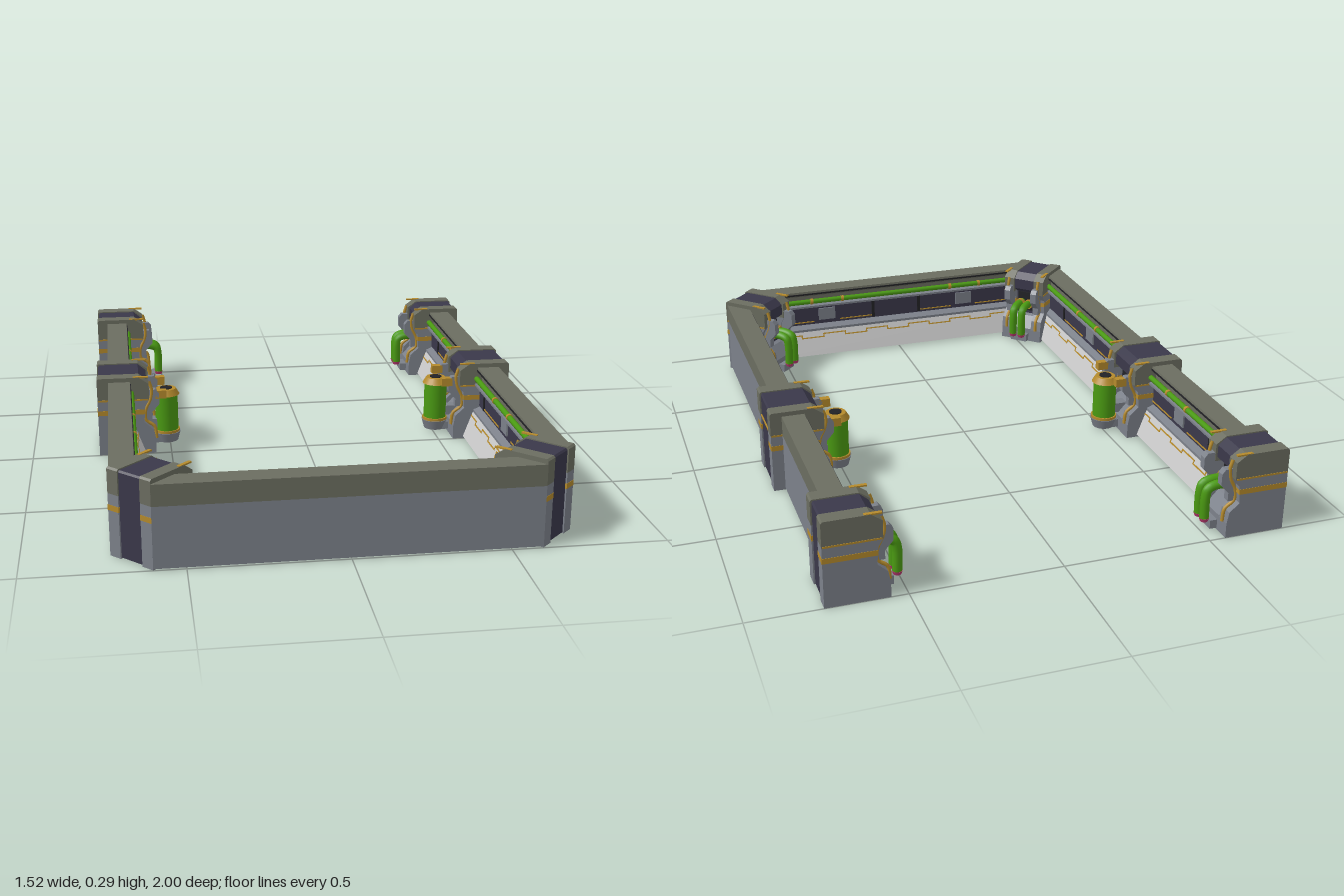
import * as THREE from 'three';

const mat = (color) => new THREE.MeshStandardMaterial({ color });
const M = {
  grey: mat(0x7c818a), olive: mat(0x6b6d60), navy: mat(0x3a384a), gold: mat(0xb48a2c),
  green: mat(0x4a9a12), light: mat(0xc4c4c4), dark: mat(0x222226), pink: mat(0xb83a70),
};

function add(parent, name, geometry, material, x = 0, y = 0, z = 0) {
  const mesh = new THREE.Mesh(geometry, material);
  mesh.name = name;
  mesh.position.set(x, y, z);
  parent.add(mesh);
  return mesh;
}

const box = (parent, name, m, w, h, d, x, y, z) =>
  add(parent, name, new THREE.BoxGeometry(w, h, d), m, x, y, z);

// Cross-section of [inward depth, height] points, extruded along local x; outward is +z
function section(parent, name, m, points, length, x = 0) {
  const shape = new THREE.Shape(points.map(([u, y]) => new THREE.Vector2(u, y)));
  const g = new THREE.ExtrudeGeometry(shape, { depth: length, bevelEnabled: false });
  g.translate(0, 0, -length / 2);
  g.rotateY(Math.PI / 2);
  return add(parent, name, g, m, x);
}

// Round pipe through [x, y, inward depth] points
function pipe(parent, name, m, points, r, steps = 20) {
  const curve = new THREE.CatmullRomCurve3(
    points.map(([x, y, u]) => new THREE.Vector3(x, y, -u)), false, 'centripetal');
  return add(parent, name, new THREE.TubeGeometry(curve, steps, r, 10), m);
}

// Straight wall: plain outside, equipment channel inside, open below
function wall(length, bays) {
  const g = new THREE.Group();
  g.name = 'wall';
  section(g, 'wallShell', M.grey, [
    [0, 0.005], [0, 0.205], [0.06, 0.205], [0.06, 0.125], [0.09, 0.112],
    [0.09, 0.1], [0.015, 0.1], [0.015, 0.005]], length);
  section(g, 'wallCap', M.olive, [
    [0, 0.205], [0, 0.275], [0.078, 0.275], [0.08, 0.262], [0.062, 0.25], [0.062, 0.205]], length);
  box(g, 'capEdge', M.dark, length, 0.006, 0.006, 0, 0.264, -0.079);
  box(g, 'innerPanel', M.navy, length, 0.078, 0.008, 0, 0.165, -0.064);
  box(g, 'pipeShelf', M.grey, length, 0.008, 0.03, 0, 0.21, -0.073);
  pipe(g, 'railPipe', M.green, [[-length / 2, 0.232, 0.082], [length / 2, 0.232, 0.082]], 0.01, 1);

  // Slanted lower panel with a stepped trim line on both faces
  const skirt = new THREE.Group();
  skirt.name = 'lowerPanel';
  skirt.position.set(0, 0.055, -0.107);
  skirt.rotation.x = 0.353;
  g.add(skirt);
  box(skirt, 'panelSheet', M.light, length, 0.101, 0.004, 0, 0, 0);
  const n = Math.round(length / 0.09), step = length / n;
  for (let i = 0; i < n; i++) {
    const x = -length / 2 + (i + 0.5) * step, high = i % 2;
    box(skirt, 'trimLine', M.gold, step, 0.005, 0.007, x, high ? 0.036 : 0.024, 0);
    if (i) box(skirt, 'trimStep', M.gold, 0.005, 0.017, 0.007, x - step / 2, 0.03, 0);
  }

  // Each bay: access hatch, side strips and pipe clamps
  for (const [cx, w] of bays) {
    box(g, 'hatch', M.grey, 0.07, 0.05, 0.012, cx, 0.168, -0.068);
    for (const s of [-1, 1]) {
      box(g, 'panelStrip', M.gold, w * 0.28, 0.004, 0.01, cx + s * w * 0.25, 0.137, -0.066);
      box(g, 'panelRib', M.dark, 0.012, 0.07, 0.012, cx + s * w * 0.4, 0.165, -0.066);
      const clamp = add(g, 'pipeClamp', new THREE.CylinderGeometry(0.012, 0.012, 0.012, 12),
        M.gold, cx + s * w * 0.13, 0.232, -0.082);
      clamp.rotation.z = Math.PI / 2;
    }
  }
  return g;
}

// Pillar: dark core between two collars, with pipes or a canister on the inside
function pillar(core, collar, canister) {
  const g = new THREE.Group();
  g.name = canister ? 'middlePillar' : 'pillar';
  section(g, 'pillarCore', M.navy, [
    [0.005, 0.003], [0.005, 0.28], [0.01, 0.286], [0.15, 0.286], [0.178, 0.262], [0.178, 0.22],
    [0.15, 0.2], [0.15, 0.09], [0.18, 0.06], [0.18, 0.003]], core);
  section(g, 'coreFoot', M.grey, [
    [0.14, 0], [0.14, 0.11], [0.165, 0.1], [0.205, 0.055], [0.205, 0]], core);
  box(g, 'coreRecess', M.dark, core * 0.8, 0.08, 0.008, 0, 0.16, -0.152);
  if (canister) box(g, 'coreBand', M.gold, core, 0.006, 0.006, 0, 0.205, -0.004);

  for (const s of [-1, 1]) {
    const x = s * (core + collar) / 2, edge = s * (core / 2 + collar);
    section(g, 'collarTop', M.olive, [
      [0, 0.205], [0, 0.284], [0.006, 0.29], [0.15, 0.29], [0.185, 0.265], [0.185, 0.205]], collar, x);
    section(g, 'collarBase', M.grey, [
      [0, 0], [0, 0.205], [0.185, 0.205], [0.17, 0.18], [0.165, 0.12],
      [0.198, 0.09], [0.205, 0.05], [0.205, 0]], collar, x);
    section(g, 'collarBracket', M.grey, [
      [0.16, 0.12], [0.16, 0.235], [0.21, 0.235], [0.222, 0.22], [0.222, 0.18],
      [0.195, 0.15], [0.195, 0.12]], 0.025, s * (core / 2 + 0.015));
    box(g, 'collarBand', M.gold, collar + 0.002, 0.018, 0.17, x, 0.16, -0.084);
    box(g, 'topStrip', M.gold, 0.012, 0.005, 0.055, edge - s * 0.007, 0.2895, -0.157);
    box(g, 'sideLine', M.gold, 0.003, 0.006, 0.18, edge, 0.206, -0.092);
    pipe(g, 'bracketTrim', M.gold, [
      [x, 0.268, 0.186], [x, 0.235, 0.195], [x, 0.2, 0.19], [x, 0.16, 0.172], [x, 0.12, 0.172],
      [x, 0.095, 0.202], [x, 0.05, 0.208]], 0.006);
    if (canister) {
      box(g, 'canisterClip', M.gold, 0.025, 0.03, 0.04, s * (core / 2 + 0.015), 0.215, -0.228);
    } else {
      const px = s * 0.019;
      pipe(g, 'bentPipe', M.green, [
        [px, 0.155, 0.15], [px, 0.155, 0.215], [px, 0.145, 0.238],
        [px, 0.12, 0.245], [px, 0.04, 0.245]], 0.016, 28);
      add(g, 'pipeTip', new THREE.CylinderGeometry(0.017, 0.013, 0.012, 12), M.pink, px, 0.036, -0.245);
      const ring = add(g, 'pipeCollar', new THREE.CylinderGeometry(0.02, 0.02, 0.012, 14),
        M.gold, px, 0.155, -0.175);
      ring.rotation.x = Math.PI / 2;
    }
  }

  if (canister) {
    const z = -0.25;
    const cyl = (name, m, r1, r2, h, y) =>
      add(g, name, new THREE.CylinderGeometry(r1, r2, h, 24), m, 0, y, z);
    cyl('canisterCup', M.grey, 0.05, 0.04, 0.035, 0.027);
    cyl('canisterBaseRing', M.gold, 0.047, 0.047, 0.01, 0.049);
    cyl('canisterBody', M.green, 0.042, 0.042, 0.14, 0.122);
    cyl('canisterLid', M.gold, 0.036, 0.049, 0.022, 0.199);
    cyl('canisterPort', M.dark, 0.022, 0.022, 0.004, 0.211);
    box(g, 'canisterArm', M.grey, 0.04, 0.035, 0.08, 0, 0.08, -0.18);
    box(g, 'canisterShelf', M.grey, 0.07, 0.03, 0.08, 0, 0.025, -0.2);
  } else {
    box(g, 'pipeBase', M.grey, 0.07, 0.03, 0.05, 0, 0.02, -0.205);
  }
  return g;
}

export function createModel() {
  const root = new THREE.Group();
  root.name = 'barrierFrame';
  const place = (part, name, x, z, turn) => {
    part.name = name;
    part.position.set(x, 0, z);
    part.rotation.y = turn;
    root.add(part);
  };

  place(wall(1.2, [[-0.3, 0.5], [0.3, 0.5]]), 'frontWall', 0, 1, 0);
  for (const s of [1, -1]) {
    const side = s > 0 ? 'left' : 'right';
    place(wall(1.77, [[-s * 0.365, 0.7], [s * 0.44, 0.56]]),
      side + 'Wall', s * 0.72, -0.015, s * Math.PI / 2);
    place(pillar(0.09, 0.044, false), side + 'CornerPillar', s * 0.663, 0.935, s * Math.PI / 4);
    place(pillar(0.135, 0.05, true), side + 'MiddlePillar', s * 0.76, -0.12, s * Math.PI / 2);
    place(pillar(0.09, 0.05, false), side + 'EndPillar', s * 0.76, -0.905, s * Math.PI / 2);
  }
  return root;
}
